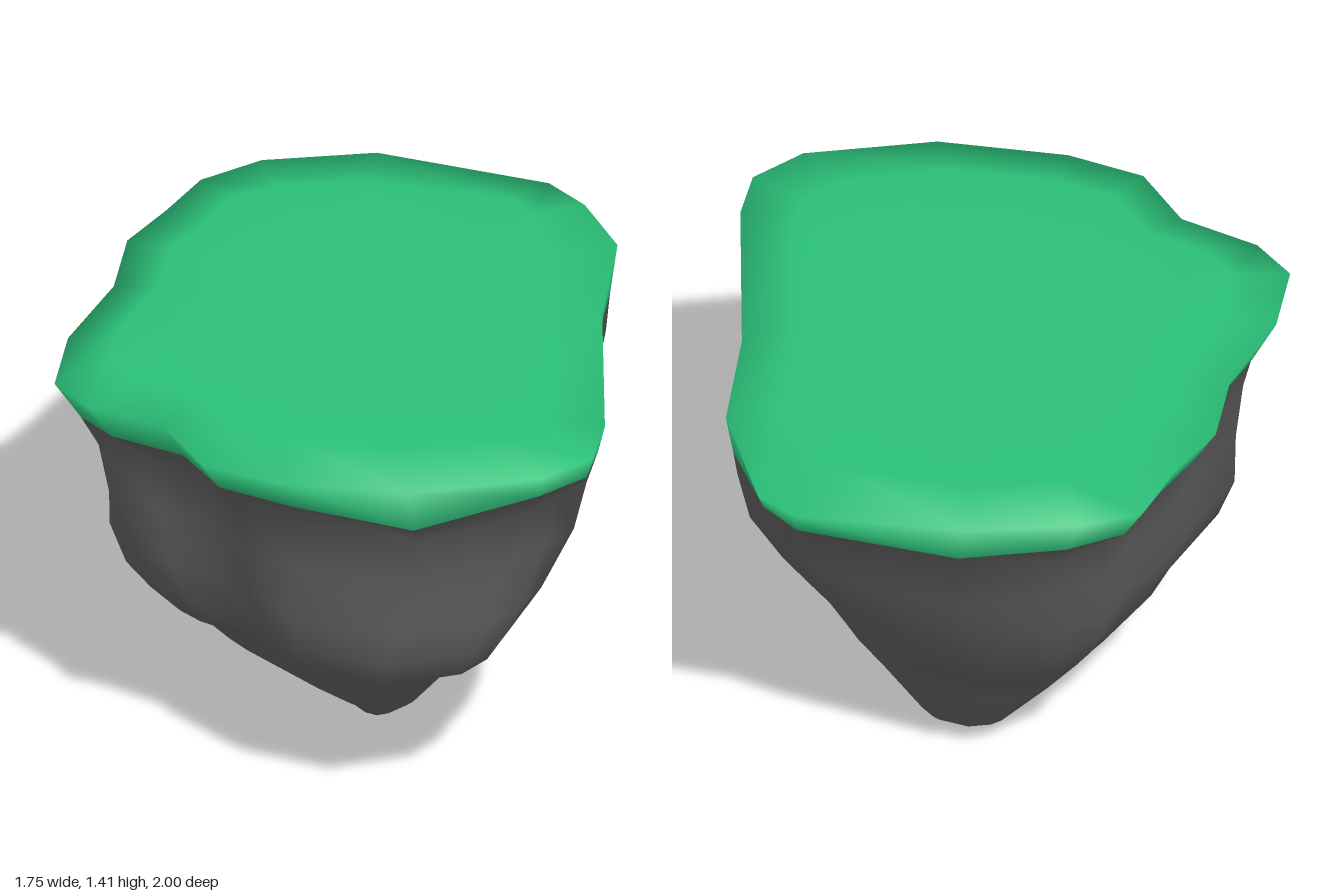
import * as THREE from 'three';
import { mergeVertices } from 'three/addons/utils/BufferGeometryUtils.js';

// Island outline seen from above: [x, z, height of the grass rim,
// height of its lower edge, reach of the rock high up, reach lower down]
const OUTLINE = [
  [-0.16, -0.99, 1.39, 1.25, 0.98, 0.98], [0.19, -1.0, 1.395, 1.24, 1, 1],
  [0.7, -0.84, 1.36, 1.26, 0.91, 0.91], [0.8, -0.72, 1.35, 1.27, 0.92, 0.91],
  [0.875, -0.39, 1.4, 1.25, 1, 1], [0.8, 0.0, 1.395, 1.27, 1, 1],
  [0.76, 0.66, 1.385, 1.27, 0.97, 0.96], [0.71, 0.84, 1.38, 1.28, 0.88, 0.93],
  [0.55, 0.95, 1.38, 1.28, 0.9, 0.96], [0.14, 0.995, 1.37, 1.2, 1, 1],
  [-0.25, 0.9, 1.37, 1.25, 0.96, 0.9], [-0.47, 0.78, 1.37, 1.26, 0.93, 0.77],
  [-0.57, 0.55, 1.375, 1.25, 0.92, 0.8], [-0.79, 0.41, 1.37, 1.25, 0.9, 0.8],
  [-0.88, 0.26, 1.37, 1.24, 1, 0.86], [-0.82, 0.0, 1.375, 1.24, 1.04, 1.07],
  [-0.66, -0.29, 1.38, 1.26, 1.02, 1.05], [-0.6, -0.55, 1.385, 1.26, 0.94, 0.94],
  [-0.47, -0.72, 1.385, 1.25, 0.93, 0.93], [-0.35, -0.92, 1.37, 1.25, 0.94, 0.94],
];

// Rock cross-sections: [y, minX, maxX, minZ, maxZ, blend from high to low reach]
const ROCK_LEVELS = [
  [1.14, -0.745, 0.84, -0.86, 0.885, 0],
  [0.95, -0.72, 0.8, -0.78, 0.81, 0.1],
  [0.75, -0.705, 0.695, -0.7, 0.8, 0.7],
  [0.62, -0.65, 0.61, -0.63, 0.755, 1],
  [0.53, -0.575, 0.55, -0.575, 0.71, 1],
  [0.45, -0.5, 0.5, -0.51, 0.56, 1],
  [0.39, -0.44, 0.46, -0.455, 0.4, 1],
  [0.28, -0.33, 0.39, -0.37, 0.3, 1],
  [0.09, -0.08, 0.265, -0.25, 0.1, 1],
  [0.04, 0.02, 0.18, -0.17, 0.05, 1],
];

// Outline fitted into a bounding rectangle, each point moved in or out by its reach
function rockSection([y, minX, maxX, minZ, maxZ, blend]) {
  return OUTLINE.map(([x, z, , , high, low]) => {
    const s = THREE.MathUtils.lerp(high, low, blend);
    return [
      (minX + maxX) / 2 + ((s * x) / 0.88) * ((maxX - minX) / 2),
      y,
      (minZ + maxZ) / 2 + s * z * ((maxZ - minZ) / 2),
    ];
  });
}

const point = (x, y, z) => OUTLINE.map(() => [x, y, z]);

// Smooth skin through rings ordered from top to bottom
function loft(rings) {
  const n = OUTLINE.length;
  const index = [];
  for (let i = 0; i < rings.length - 1; i++) {
    for (let j = 0; j < n; j++) {
      const k = (j + 1) % n;
      const a = i * n + j, b = i * n + k, c = a + n, d = b + n;
      index.push(a, b, c, b, d, c);
    }
  }
  let geometry = new THREE.BufferGeometry();
  geometry.setAttribute('position', new THREE.Float32BufferAttribute(rings.flat(2), 3));
  geometry.setIndex(index);
  geometry = mergeVertices(geometry, 1e-4);
  geometry.computeVertexNormals();
  return geometry;
}

function addPart(group, name, rings, color) {
  const material = new THREE.MeshStandardMaterial({ color, side: THREE.DoubleSide });
  const mesh = new THREE.Mesh(loft(rings), material);
  mesh.name = name;
  group.add(mesh);
}

export function createModel() {
  const group = new THREE.Group();
  group.name = 'floatingIsland';

  const rim = OUTLINE.map(([x, z, y]) => [x, y, z]);
  const grassEdge = OUTLINE.map(([x, z, , y]) => [x * 0.94 + 0.028, y, z * 0.93]);
  const inset = (s, y) => OUTLINE.map(([x, z]) => [x * s, y, z * s]);

  // Grass cap: flat top, broad soft shoulder and a wavy skirt
  addPart(group, 'grassTop',
    [point(0, 1.41, 0), inset(0.55, 1.41), inset(0.8, 1.412), rim, grassEdge], 0x2bc078);

  // Rock body with a front bulge, tapering to an off-centre tip
  addPart(group, 'rockBase',
    [grassEdge, ...ROCK_LEVELS.map(rockSection), point(0.1, 0, -0.1)], 0x606060);

  return group;
}
